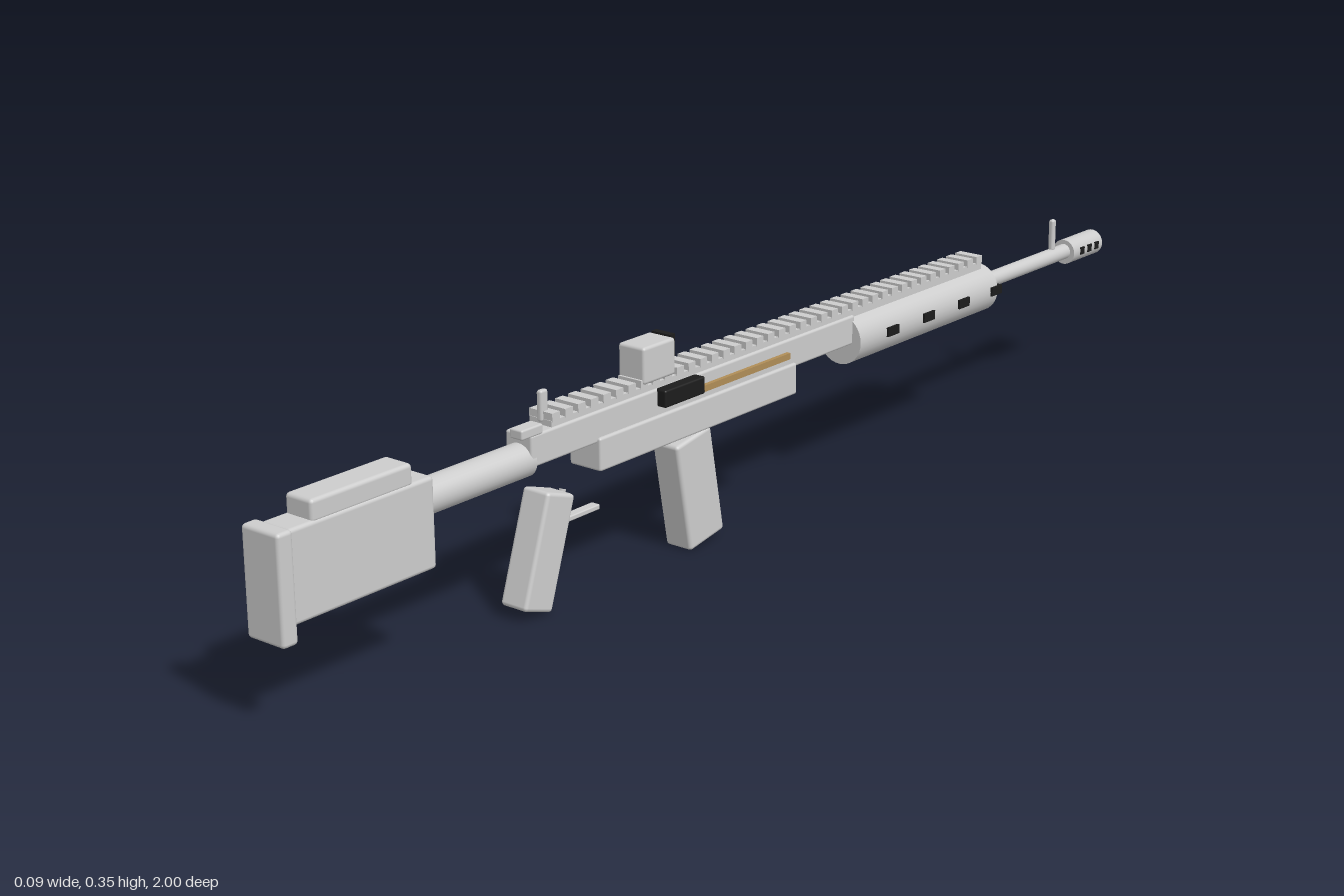
import * as THREE from 'three';
import { RoundedBoxGeometry } from 'three/addons/geometries/RoundedBoxGeometry.js';

export function createModel() {
  const model = new THREE.Group();
  const grey = new THREE.MeshStandardMaterial({ color: 0xcccccc });
  grey.name = 'light grey';
  const black = new THREE.MeshStandardMaterial({ color: 0x1c1c1c });
  black.name = 'black';
  const brass = new THREE.MeshStandardMaterial({ color: 0xb08d57 });
  brass.name = 'brass';

  function add(name, geometry, material, x, y, z, parent = model) {
    const mesh = new THREE.Mesh(geometry, material);
    mesh.name = name;
    mesh.position.set(x, y, z);
    parent.add(mesh);
    return mesh;
  }

  // Boxes are given by their limits; bevel 0 gives sharp edges
  function box(name, material, [x0, x1], [y0, y1], [z0, z1], bevel = 0, parent = model) {
    const size = [x1 - x0, y1 - y0, z1 - z0];
    const geometry = bevel
      ? new RoundedBoxGeometry(...size, 2, bevel)
      : new THREE.BoxGeometry(...size);
    return add(name, geometry, material, (x0 + x1) / 2, (y0 + y1) / 2, (z0 + z1) / 2, parent);
  }

  // Cylinder lying along z
  function tube(name, radius, y, z0, z1) {
    const geometry = new THREE.CylinderGeometry(radius, radius, z1 - z0, 32).rotateX(Math.PI / 2);
    return add(name, geometry, grey, 0, y, (z0 + z1) / 2);
  }

  // Stock
  box('buttPlate', grey, [-0.035, 0.035], [0.126, 0.284], [0.973, 1], 0.006);
  box('stockBody', grey, [-0.027, 0.027], [0.148, 0.281], [0.713, 0.975], 0.006);
  box('cheekRest', grey, [-0.025, 0.025], [0.276, 0.309], [0.75, 0.932], 0.006);
  tube('stockTube', 0.026, 0.243, 0.51, 0.72);

  // Receiver
  box('upperReceiver', grey, [-0.025, 0.025], [0.236, 0.284], [-0.24, 0.52], 0.004);
  box('lowerReceiver', grey, [-0.03, 0.03], [0.193, 0.244], [-0.082, 0.382], 0.004);
  box('ejectionPort', black, [0.02, 0.041], [0.257, 0.284], [0.157, 0.249], 0.003);
  box('boltStrip', brass, [-0.032, 0.032], [0.255, 0.265], [-0.062, 0.158]);
  box('chargingHandle', grey, [0.004, 0.028], [0.283, 0.298], [0.498, 0.542], 0.003);

  // Handguard with black vent bars running through it
  tube('handguard', 0.042, 0.241, -0.628, -0.233);
  for (const z of [-0.32, -0.422, -0.524, -0.622]) {
    box('handguardVent', black, [-0.045, 0.045], [0.235, 0.25], [z - 0.015, z + 0.015]);
  }

  // Barrel and muzzle
  tube('barrel', 0.0135, 0.244, -0.92, -0.62);
  tube('muzzle', 0.022, 0.243, -1, -0.905);
  for (const z of [-0.932, -0.956, -0.98]) {
    box('muzzleSlot', black, [-0.0235, 0.0235], [0.237, 0.25], [z - 0.006, z + 0.006]);
  }

  // Toothed top rail
  const rail = new THREE.Group();
  rail.name = 'rail';
  model.add(rail);
  box('railBase', grey, [-0.021, 0.021], [0.28, 0.293], [-0.607, 0.474], 0, rail);
  const teeth = 40;
  for (let i = 0; i < teeth; i++) {
    const z = -0.599 + (i * 1.064) / (teeth - 1);
    box('railTooth', grey, [-0.022, 0.022], [0.291, 0.304], [z - 0.008, z + 0.008], 0, rail);
  }

  // Sights
  box('frontSight', grey, [-0.005, 0.005], [0.254, 0.311], [-0.87, -0.858], 0.004);
  box('rearSight', grey, [-0.005, 0.005], [0.288, 0.335], [0.461, 0.477], 0.004);
  box('opticBody', grey, [-0.025, 0.025], [0.296, 0.353], [0.206, 0.278], 0.005);
  box('opticLens', black, [-0.018, 0.018], [0.322, 0.356], [0.199, 0.21]);

  // Slanted magazine and grip
  const magazine = add('magazine', new RoundedBoxGeometry(0.05, 0.178, 0.082, 2, 0.006), grey, 0, 0.1, 0.149);
  magazine.rotation.x = 0.175;
  const grip = add('grip', new RoundedBoxGeometry(0.05, 0.174, 0.06, 2, 0.006), grey, 0, 0.099, 0.486);
  grip.rotation.x = -0.32;

  // Trigger and guard
  box('triggerGuard', grey, [-0.008, 0.008], [0.125, 0.133], [0.36, 0.447], 0.002);
  const curve = new THREE.QuadraticBezierCurve3(
    new THREE.Vector3(0, 0.176, 0.431),
    new THREE.Vector3(0, 0.155, 0.437),
    new THREE.Vector3(0, 0.136, 0.42)
  );
  add('trigger', new THREE.TubeGeometry(curve, 8, 0.005, 8), grey, 0, 0, 0);

  return model;
}
